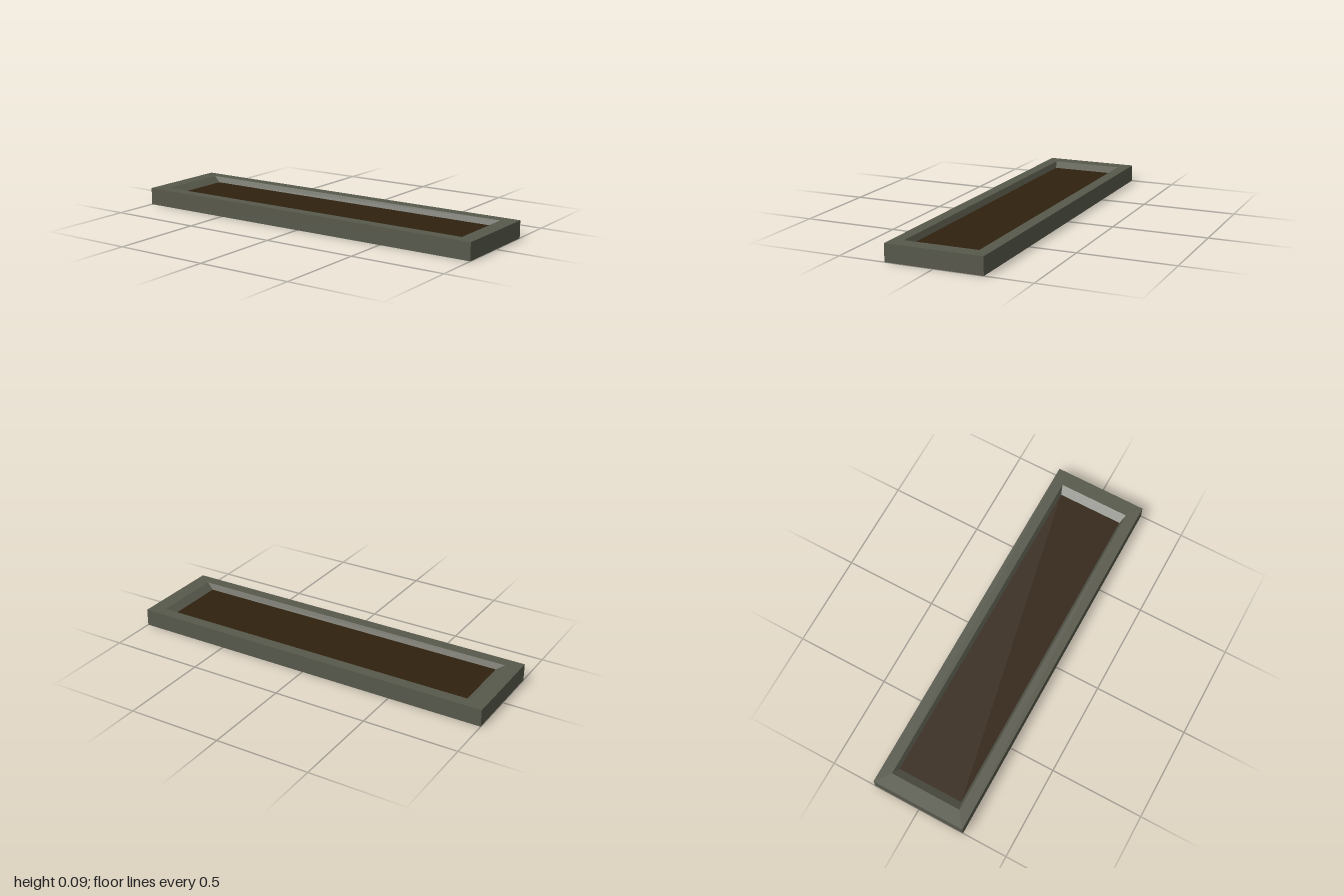
import * as THREE from 'three';

// Skin a stack of rectangles [halfX, y, halfZ]; consecutive ones are joined by four flat walls.
function rectLoft(sections) {
  const corners = ([x, y, z]) => [[-x, y, z], [x, y, z], [x, y, -z], [-x, y, -z]];
  const pos = [];
  for (let s = 0; s < sections.length - 1; s++) {
    const a = corners(sections[s]), b = corners(sections[s + 1]);
    for (let i = 0; i < 4; i++) {
      const j = (i + 1) % 4;
      pos.push(...a[i], ...a[j], ...b[j], ...a[i], ...b[j], ...b[i]);
    }
  }
  const g = new THREE.BufferGeometry();
  g.setAttribute('position', new THREE.Float32BufferAttribute(pos, 3));
  g.computeVertexNormals();
  return g;
}

export function createModel() {
  const stone = new THREE.MeshStandardMaterial({ name: 'greyStone', color: 0x58594c });
  const soil = new THREE.MeshStandardMaterial({ name: 'darkSoil', color: 0x30210f });

  const W = 1, D = 0.255, H = 0.092;            // outer half width, half depth, height
  const floorX = 0.877, floorZ = 0.179, floorY = 0.063;

  const group = new THREE.Group();
  group.name = 'planter';
  const add = (name, geometry, material) => {
    const mesh = new THREE.Mesh(geometry, material);
    mesh.name = name;
    group.add(mesh);
    return mesh;
  };

  // Outer walls, flat rim and sloping inner walls
  add('trough', rectLoft([
    [W, 0, D], [W, H, D], [0.92, H, 0.194], [floorX, floorY, floorZ],
  ]), stone);

  // Underside
  add('base', new THREE.PlaneGeometry(2 * W, 2 * D).rotateX(Math.PI / 2), stone);

  // Soil filling the recess
  add('soilBed', new THREE.PlaneGeometry(2 * floorX, 2 * floorZ).rotateX(-Math.PI / 2), soil)
    .position.y = floorY;

  return group;
}
